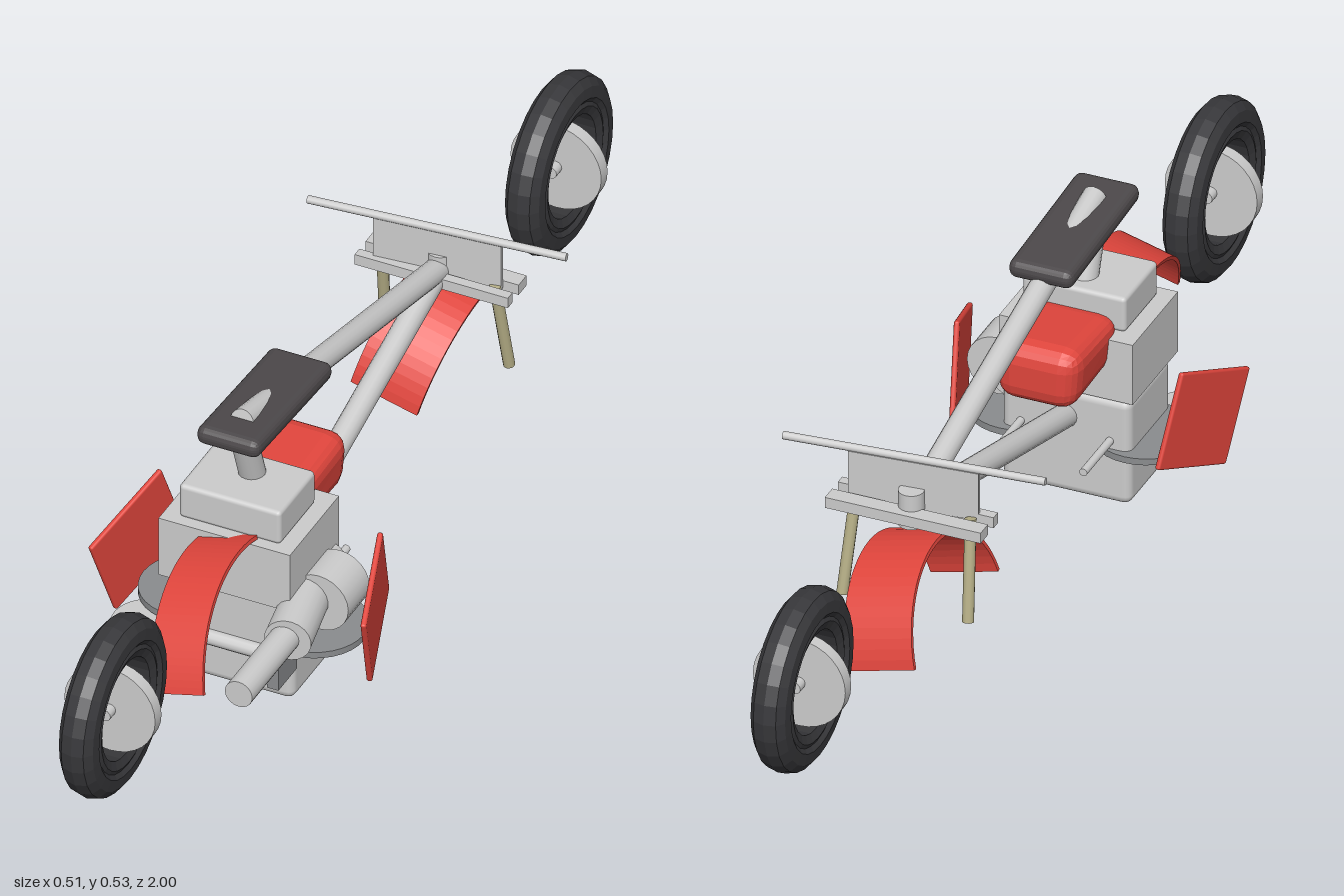
import * as THREE from 'three';
import { RoundedBoxGeometry } from 'three/addons/geometries/RoundedBoxGeometry.js';

const V = (x, y, z) => new THREE.Vector3(x, y, z);
const mat = (color, flatShading = false) => new THREE.MeshStandardMaterial({ color, flatShading });
const grey = mat(0xcccccc);
const dark = mat(0x8a8c8e);
const red = mat(0xe0453c);
const redFlat = mat(0xe0453c, true);
const rubber = mat(0x38383b, true);
const leather = mat(0x4c484a, true);
const brass = mat(0xb5ae86);

export function createModel() {
  const root = new THREE.Group();

  const add = (name, geometry, material, x = 0, y = 0, z = 0, parent = root) => {
    const mesh = new THREE.Mesh(geometry, material);
    mesh.name = name;
    mesh.position.set(x, y, z);
    parent.add(mesh);
    return mesh;
  };
  const box = (name, w, h, d, x, y, z, m = grey) => add(name, new THREE.BoxGeometry(w, h, d), m, x, y, z);
  const rounded = (name, w, h, d, r, x, y, z, m = grey) =>
    add(name, new RoundedBoxGeometry(w, h, d, 2, r), m, x, y, z);
  // Round bar between two points
  const rod = (name, a, b, r0, r1 = r0, m = grey, sides = 16, parent = root) => {
    const dir = b.clone().sub(a);
    const mesh = add(name, new THREE.CylinderGeometry(r1, r0, dir.length(), sides), m, 0, 0, 0, parent);
    mesh.position.copy(a).lerp(b, 0.5);
    mesh.quaternion.setFromUnitVectors(V(0, 1, 0), dir.normalize());
    return mesh;
  };

  // Wheels: grooved tyre with a disc hub turned across it
  const tyreProfile = [
    [0.09, -0.024], [0.105, -0.03], [0.112, -0.027], [0.12, -0.033], [0.14, -0.031], [0.154, -0.02],
    [0.159, 0], [0.154, 0.02], [0.14, 0.031], [0.12, 0.033], [0.112, 0.027], [0.105, 0.03],
    [0.09, 0.024], [0.09, -0.024],
  ].map(([r, y]) => new THREE.Vector2(r, y));
  for (const [name, z] of [['frontWheel', 0.841], ['rearWheel', -0.841]]) {
    const wheel = new THREE.Group();
    wheel.name = name;
    wheel.position.set(0, 0.245, z);
    root.add(wheel);
    add('tyre', new THREE.LatheGeometry(tyreProfile, 28).rotateZ(Math.PI / 2), rubber, 0, 0, 0, wheel);
    rod('hubDisc', V(0, 0, -0.012), V(0, 0, 0.012), 0.083, 0.083, grey, 32, wheel);
    rod('axle', V(0, 0, -0.032), V(0, 0, 0.032), 0.011, 0.011, grey, 12, wheel);
  }

  // Engine: crankcase, cylinder section and head stacked upward
  rounded('crankcase', 0.232, 0.2, 0.168, 0.016, 0, 0.1, 0.318);
  box('cylinderBlock', 0.24, 0.115, 0.185, 0, 0.255, 0.329);
  rounded('cylinderHead', 0.186, 0.066, 0.135, 0.008, 0, 0.344, 0.335);
  const cover = add('engineRoll', new THREE.CapsuleGeometry(0.014, 0.145, 4, 12), grey, 0, 0.088, 0.405);
  cover.rotation.z = Math.PI / 2;
  rod('crossPin', V(-0.13, 0.053, 0.3), V(0.13, 0.053, 0.3), 0.004);
  for (const s of [-1, 1]) {
    rod('rearPeg', V(s * 0.08, 0.12, 0.24), V(s * 0.08, 0.12, 0.125), 0.007);
    rod('sideDisc', V(s * 0.112, 0.093, 0.31), V(s * 0.112, 0.105, 0.31), 0.09, 0.09, dark, 32);
  }
  rod('lowerDisc', V(-0.14, 0.085, 0.415), V(-0.14, 0.091, 0.415), 0.064, 0.064, grey, 32);

  // Exhaust
  rod('exhaustFlange', V(0.143, 0.184, 0.28), V(0.143, 0.184, 0.36), 0.054, 0.054, grey, 24);
  rod('exhaustElbow', V(0.1, 0.19, 0.25), V(0.142, 0.182, 0.475), 0.038, 0.04, grey, 20);
  rod('exhaustPipe', V(0.136, 0.184, 0.44), V(0.136, 0.184, 0.648), 0.025, 0.025, grey, 20);
  box('exhaustBracket', 0.021, 0.068, 0.07, 0.117, 0.112, 0.445, dark);

  // Frame tubes and seat post
  rod('upperFrameTube', V(0, 0.505, 0.355), V(0, 0.325, -0.4), 0.021);
  rod('lowerFrameTube', V(0, 0.145, 0.25), V(0, 0.33, -0.4), 0.021);
  rod('seatPost', V(0, 0.36, 0.31), V(0, 0.5, 0.36), 0.023);

  // Seat, narrow pad dipping toward the tank
  const seat = rounded('seat', 0.116, 0.034, 0.29, 0.015, 0, 0.486, 0.27, leather);
  seat.rotation.x = -0.065;

  // Tank, tapered toward the handlebar and below
  const tankGeo = new RoundedBoxGeometry(0.16, 0.112, 0.19, 2, 0.035);
  const p = tankGeo.attributes.position;
  for (let i = 0; i < p.count; i++) {
    const low = 0.5 - p.getY(i) / 0.112;
    p.setX(i, p.getX(i) * (1 - 0.12 * low));
    if (p.getZ(i) > 0) p.setY(i, p.getY(i) * 0.85);
  }
  tankGeo.computeVertexNormals();
  add('tank', tankGeo, redFlat, 0, 0.293, 0.195);

  // Tilted side panels
  for (const s of [-1, 1]) {
    const u = V(s * -0.05, 0.07, -0.17).normalize();
    const n = u.clone().cross(V(s * -0.016, -0.16, -0.055)).normalize();
    const v = n.clone().cross(u);
    const panel = rounded('sidePanel', 0.186, 0.17, 0.01, 0.004, s * 0.217, 0.16, 0.301, red);
    panel.quaternion.setFromRotationMatrix(new THREE.Matrix4().makeBasis(u, v, n));
  }

  // Fenders: curved strips rolled to one side about their crown
  const fender = (name, radius, a0, a1, width, y, z, roll) => {
    const shape = new THREE.Shape();
    shape.absarc(0, 0, radius, a0, a1, false);
    shape.absarc(0, 0, radius - 0.007, a1, a0, true);
    const geo = new THREE.ExtrudeGeometry(shape, { depth: width, bevelEnabled: false, curveSegments: 14 });
    geo.translate(0, -radius, -width / 2).rotateY(-Math.PI / 2);
    add(name, geo, red, 0, y, z).rotation.z = roll;
  };
  fender('frontFender', 0.228, 0.36, 1.85, 0.1, 0.315, 0.465, 0.26);
  fender('rearFender', 0.176, 0.15, Math.PI - 0.15, 0.125, 0.282, -0.43, -0.25);

  // Steering: handlebar, plate, clamps and fork legs
  rod('handlebar', V(-0.227, 0.413, -0.362), V(0.227, 0.413, -0.402), 0.007, 0.007, grey, 12);
  const plate = box('steeringPlate', 0.226, 0.09, 0.008, 0, 0.363, -0.384);
  plate.rotation.y = 0.088;
  box('rearClamp', 0.28, 0.02, 0.03, 0, 0.32, -0.415);
  box('frontClamp', 0.28, 0.02, 0.018, 0, 0.32, -0.368);
  rod('headTube', V(0, 0.295, -0.395), V(0, 0.36, -0.395), 0.022);
  for (const s of [-1, 1]) {
    rod('forkLeg', V(s * 0.103, 0.325, -0.387), V(s * 0.113, 0.147, -0.42), 0.01, 0.01, brass, 12);
  }

  return root;
}
